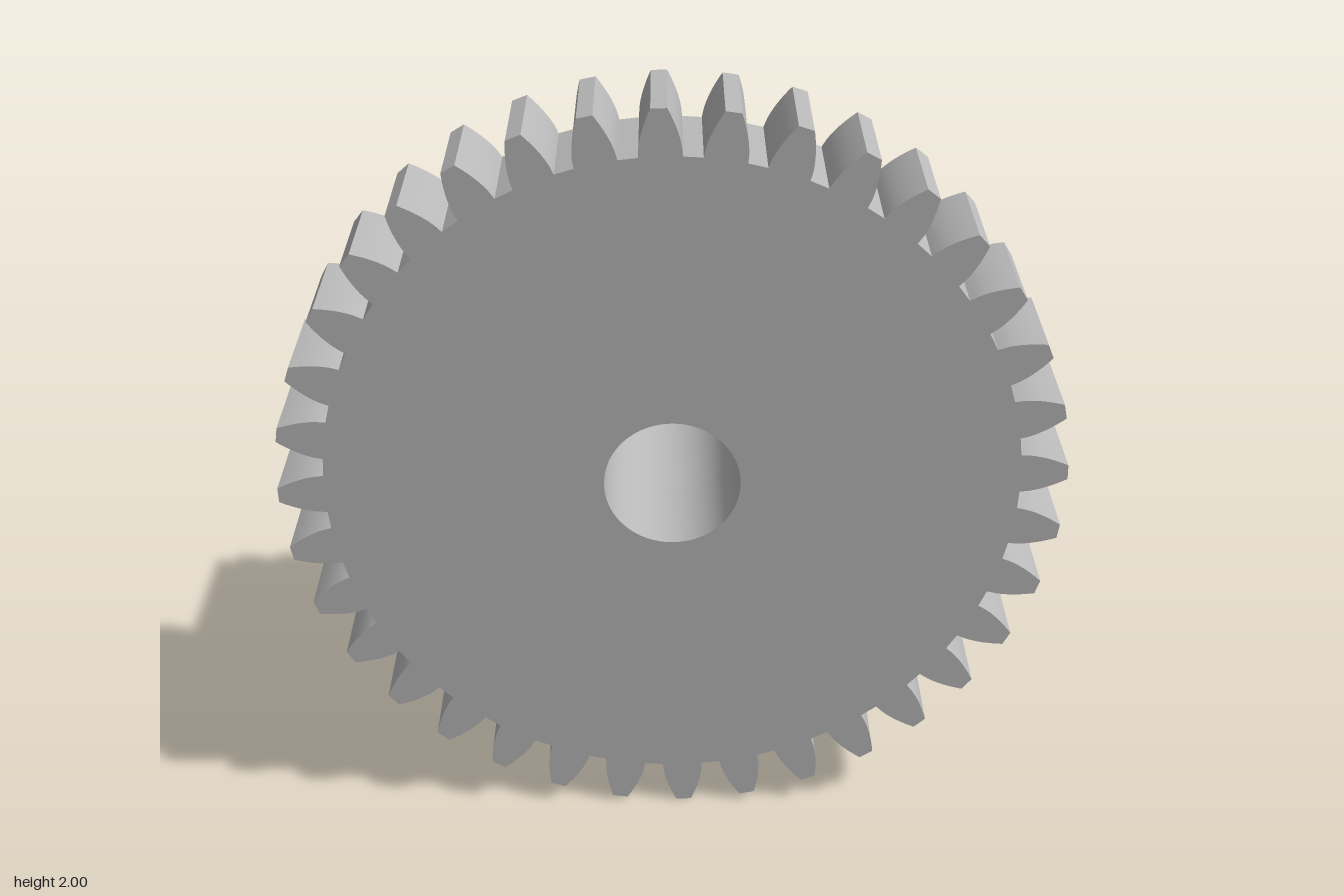
import * as THREE from 'three';
import { toCreasedNormals } from 'three/addons/utils/BufferGeometryUtils.js';

const BORE = 0.173;
const PRESSURE = THREE.MathUtils.degToRad(20);
const involute = (a) => Math.tan(a) - a;

// Spur gear outline with involute flanks and a round bore
function gearShape(teeth, outer, phase) {
  const m = (2 * outer) / (teeth + 2);
  const pitch = (m * teeth) / 2;
  const base = pitch * Math.cos(PRESSURE);
  const root = pitch - 1.25 * m;
  const halfAngle = (r) =>
    Math.PI / (2 * teeth) + involute(PRESSURE) - involute(Math.acos(Math.min(1, base / r)));

  // One flank from root to tip as [radius, half angle]
  const flank = [[root, halfAngle(base) + 0.12 * (base - root)]];
  const steps = 7;
  for (let i = 0; i <= steps; i++) {
    const r = base + ((outer - base) * i) / steps;
    flank.push([r, halfAngle(r)]);
  }

  const points = [];
  const add = (r, a) => points.push(new THREE.Vector2(r * Math.cos(a), r * Math.sin(a)));
  for (let t = 0; t < teeth; t++) {
    const mid = phase + (t * 2 * Math.PI) / teeth;
    flank.forEach(([r, h]) => add(r, mid - h));
    [...flank].reverse().forEach(([r, h]) => add(r, mid + h));
  }
  const shape = new THREE.Shape(points);
  const hole = new THREE.Path();
  hole.absarc(0, 0, BORE, 0, Math.PI * 2, true);
  shape.holes.push(hole);
  return shape;
}

function gear(name, teeth, outer, phaseDeg, z0, z1, material) {
  const geo = new THREE.ExtrudeGeometry(
    gearShape(teeth, outer, THREE.MathUtils.degToRad(phaseDeg)),
    { depth: z1 - z0, bevelEnabled: false, curveSegments: 48 }
  );
  const mesh = new THREE.Mesh(toCreasedNormals(geo, Math.PI / 7), material);
  mesh.name = name;
  mesh.position.set(0, 1, z0);
  return mesh;
}

export function createModel() {
  const group = new THREE.Group();
  group.name = 'compoundGear';
  const steel = new THREE.MeshStandardMaterial({ color: 0xb8b8b8 });
  steel.name = 'grey';

  // Wide front wheel and the longer pinion behind it
  group.add(gear('largeGear', 36, 1.0, 1.8, 0.14, 0.415, steel));
  group.add(gear('smallGear', 18, 0.547, -3.6, -0.415, 0.14, steel));
  return group;
}
